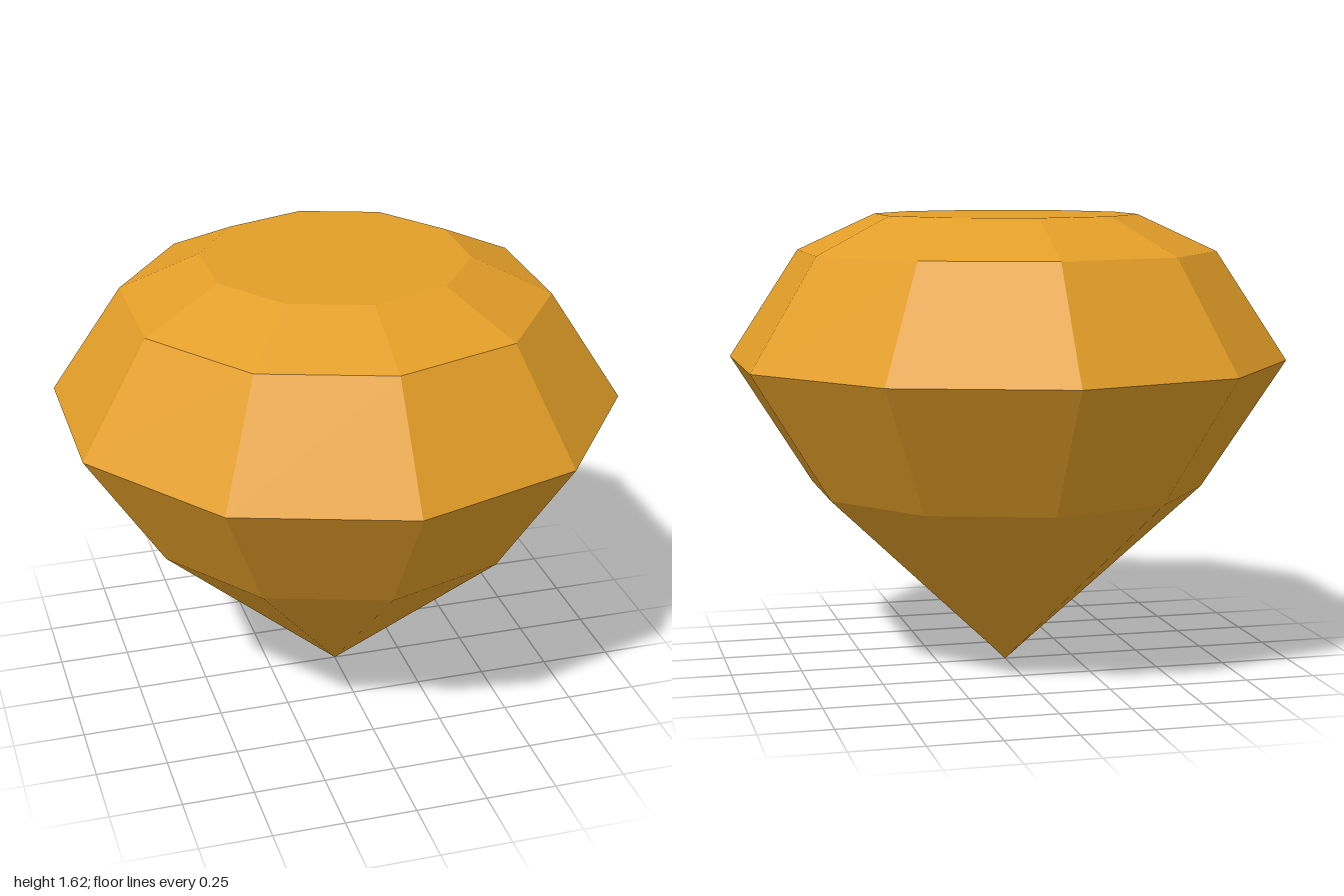
import * as THREE from 'three';

const SIDES = 10;

export function createModel() {
  const gem = new THREE.Group();
  gem.name = 'gem';
  const amber = new THREE.MeshStandardMaterial({ color: 0xe39e28, flatShading: true });
  amber.name = 'amber';

  // One ring of facets between two heights
  const addTier = (name, y0, r0, y1, r1) => {
    const tier = new THREE.Mesh(
      new THREE.CylinderGeometry(r1, r0, y1 - y0, SIDES, 1, true), amber);
    tier.position.y = (y0 + y1) / 2;
    tier.name = name;
    gem.add(tier);
  };

  addTier('lowerPavilion', 0, 0, 0.65, 0.705);
  addTier('upperPavilion', 0.65, 0.705, 1.105, 1);
  addTier('lowerCrown', 1.105, 1, 1.49, 0.748);
  addTier('upperCrown', 1.49, 0.748, 1.62, 0.468);

  // Flat top facet, corners aligned with the tiers
  const table = new THREE.Mesh(
    new THREE.CircleGeometry(0.468, SIDES, Math.PI / 2), amber);
  table.rotation.x = -Math.PI / 2;
  table.position.y = 1.62;
  table.name = 'table';
  gem.add(table);

  return gem;
}
